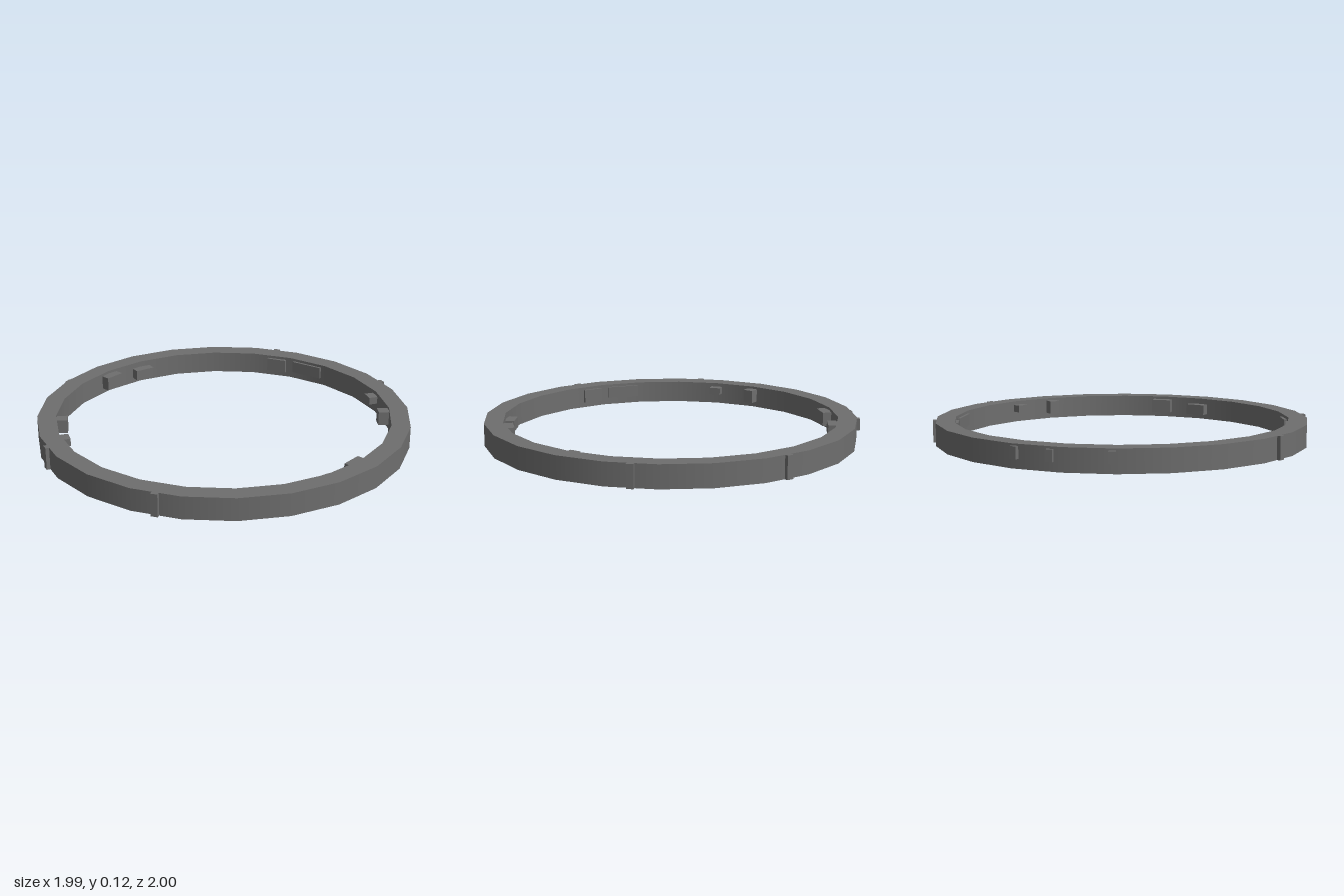
import * as THREE from 'three';

const HEIGHT = 0.12, OUTER = 0.995, INNER = 0.895, SIDES = 24;

export function createModel() {
  const model = new THREE.Group();
  model.name = 'ringBand';
  const grey = new THREE.MeshStandardMaterial({ color: 0x6e6e6e });
  grey.name = 'darkGrey';

  const assembly = new THREE.Group();
  assembly.name = 'assembly';
  assembly.position.z = 0.005;
  model.add(assembly);

  // Ring: four lathed bands, smooth around and sharp at the rims
  const ring = new THREE.Group();
  ring.name = 'ring';
  assembly.add(ring);
  const corners = [[OUTER, 0], [OUTER, HEIGHT], [INNER, HEIGHT], [INNER, 0]];
  ['outerWall', 'topRim', 'innerWall', 'bottomRim'].forEach((name, i) => {
    const profile = [corners[i], corners[(i + 1) % 4]].map(([r, y]) => new THREE.Vector2(r, y));
    const band = new THREE.Mesh(new THREE.LatheGeometry(profile, SIDES), grey);
    band.name = name;
    ring.add(band);
  });

  // Box set on the ring; the angle is in degrees from +z towards +x
  function addBlock(name, angle, r0, r1, width, y0, y1) {
    const geometry = new THREE.BoxGeometry(width, y1 - y0, r1 - r0);
    geometry.translate(0, (y0 + y1) / 2, (r0 + r1) / 2);
    const block = new THREE.Mesh(geometry, grey);
    block.name = name;
    block.rotation.y = THREE.MathUtils.degToRad(angle);
    assembly.add(block);
  }

  // Inner blocks, repeated on the opposite side
  for (const turn of [0, 180]) {
    addBlock('largeInnerBlock', 180 + turn, 0.84, 0.9, 0.113, 0.03, 0.105);
    addBlock('lowInnerBlock', 165 + turn, 0.84, 0.9, 0.113, 0.03, 0.088);
    addBlock('tallInnerBlock', 225 + turn, 0.835, 0.9, 0.06, 0.033, 0.107);
    addBlock('smallInnerBlock', 240 + turn, 0.843, 0.9, 0.065, 0.06, 0.1);
    addBlock('longInnerPlate', 277.5 + turn, 0.874, 0.9, 0.185, 0.04, 0.105);
    addBlock('shortInnerPlate', 290.3 + turn, 0.872, 0.9, 0.113, 0.03, 0.105);
  }

  // Full-height clips on the outer wall
  for (const angle of [67.5, 112.5, 247.5, 292.5]) {
    addBlock('outerClip', angle, 0.97, 1.006, 0.036, 0, HEIGHT);
  }

  // Small studs on the back
  addBlock('backStud', 166.1, 0.97, 1.012, 0.036, 0.048, 0.11);
  addBlock('backStud', 193.9, 0.97, 1.012, 0.036, 0.048, 0.11);
  addBlock('backStud', 176.8, 0.97, 1.007, 0.036, 0.048, 0.108);

  return model;
}
